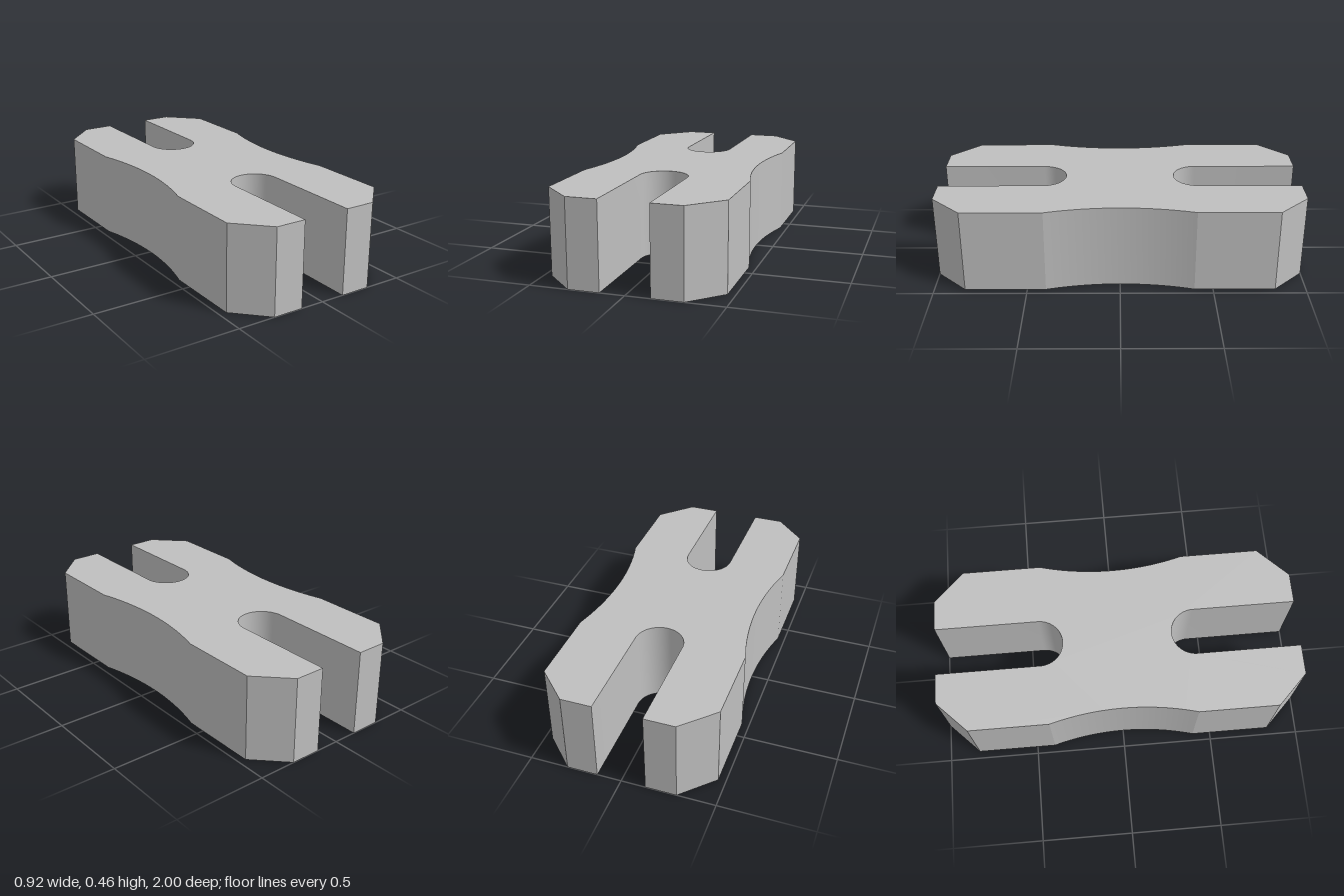
import * as THREE from 'three';
import { toCreasedNormals } from 'three/addons/utils/BufferGeometryUtils.js';

const HEIGHT = 0.462;
const HALF_WIDTH = 0.46, HALF_LENGTH = 1, CHAMFER = 0.165;
const SLOT_RADIUS = 0.13, SLOT_CENTRE = 0.43;
const WAIST = 0.405, WAIST_END = 0.4;

// Half of the outline: one concave side, then one slotted end.
// s = 1 gives the left side and front end, s = -1 the opposite half.
function addHalfOutline(shape, s) {
  const turn = s > 0 ? 0 : Math.PI;
  const dip = HALF_WIDTH - WAIST;
  const radius = (WAIST_END ** 2 + dip ** 2) / (2 * dip);
  const angle = Math.asin(WAIST_END / radius);

  // shallow waist
  shape.absarc(s * (WAIST + radius), 0, radius, Math.PI + angle + turn, Math.PI - angle + turn, true);
  // chamfered corner
  shape.lineTo(s * HALF_WIDTH, s * (HALF_LENGTH - CHAMFER));
  shape.lineTo(s * (HALF_WIDTH - CHAMFER), s * HALF_LENGTH);
  // round-bottomed slot
  shape.lineTo(s * SLOT_RADIUS, s * HALF_LENGTH);
  shape.lineTo(s * SLOT_RADIUS, s * SLOT_CENTRE);
  shape.absarc(0, s * SLOT_CENTRE, SLOT_RADIUS, turn, turn - Math.PI, true);
  shape.lineTo(-s * SLOT_RADIUS, s * HALF_LENGTH);
  // opposite chamfered corner
  shape.lineTo(-s * (HALF_WIDTH - CHAMFER), s * HALF_LENGTH);
  shape.lineTo(-s * HALF_WIDTH, s * (HALF_LENGTH - CHAMFER));
  shape.lineTo(-s * HALF_WIDTH, s * WAIST_END);
}

export function createModel() {
  const group = new THREE.Group();
  group.name = 'slottedBlock';

  const grey = new THREE.MeshStandardMaterial({ color: 0xbfbfbf });
  grey.name = 'plain grey';

  const outline = new THREE.Shape();
  outline.moveTo(HALF_WIDTH, -WAIST_END);
  addHalfOutline(outline, 1);
  addHalfOutline(outline, -1);

  // Extruded plan, laid flat on the ground
  const solid = new THREE.ExtrudeGeometry(outline, { depth: HEIGHT, bevelEnabled: false, curveSegments: 16 });
  solid.rotateX(Math.PI / 2);
  solid.translate(0, HEIGHT, 0);

  const body = new THREE.Mesh(toCreasedNormals(solid, 0.2), grey);
  body.name = 'body';
  group.add(body);
  return group;
}
